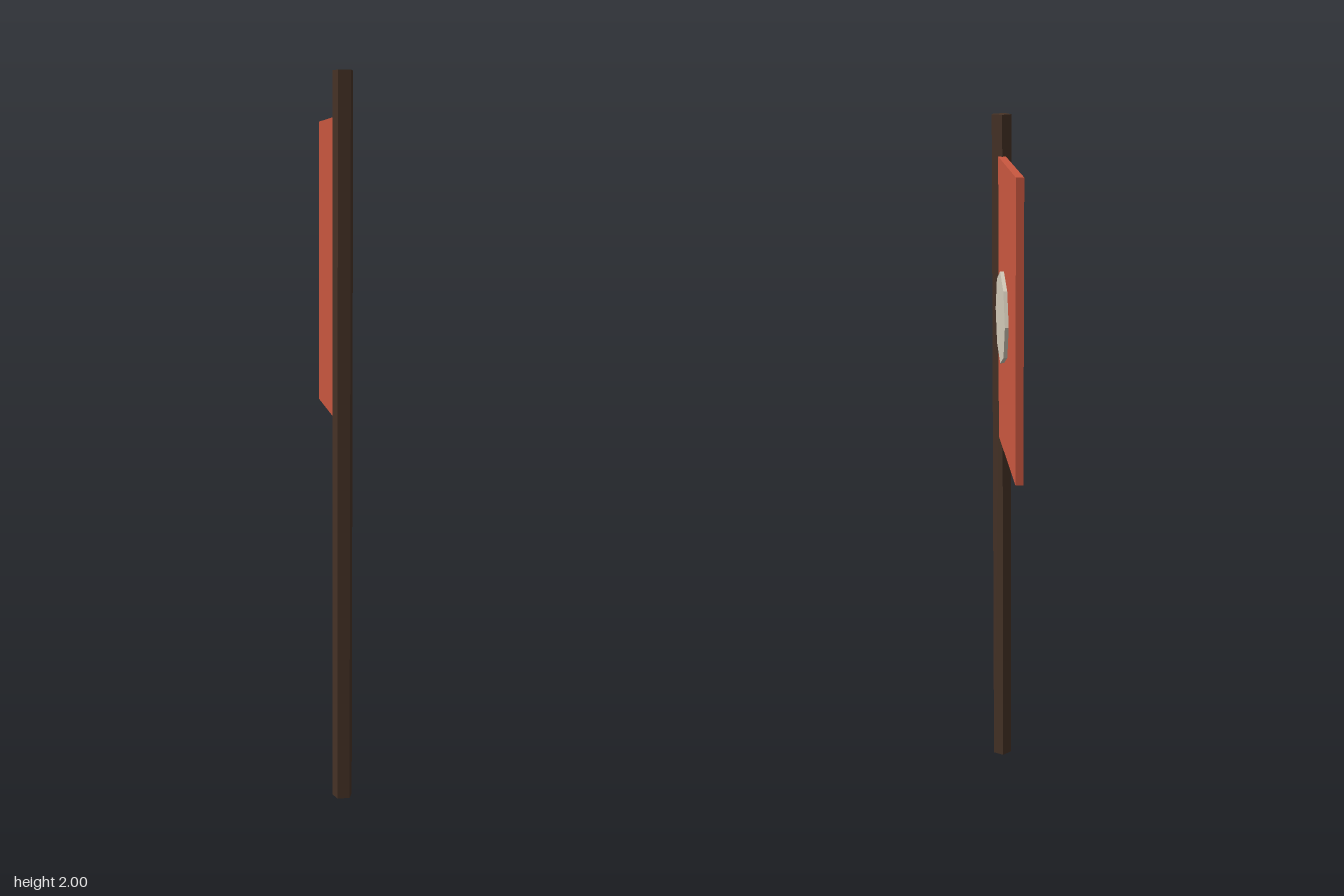
import * as THREE from 'three';

function addPart(group, name, geometry, color, x, y, z) {
  const material = new THREE.MeshStandardMaterial({ color, flatShading: true });
  const mesh = new THREE.Mesh(geometry, material);
  mesh.name = name;
  mesh.position.set(x, y, z);
  group.add(mesh);
}

export function createModel() {
  const group = new THREE.Group();
  group.name = 'banner';

  // five-sided pole, one corner pointing back into the cloth
  const pole = new THREE.CylinderGeometry(0.029, 0.029, 2, 5).rotateY(Math.PI);
  addPart(group, 'pole', pole, 0x463226, -0.001, 1, 0.229);

  // stiff cloth panel behind the pole
  const cloth = new THREE.BoxGeometry(0.0215, 0.822, 0.463);
  addPart(group, 'cloth', cloth, 0xc9573f, -0.001, 1.474, -0.0225);

  // thin octagonal disc floating just off the left face
  const emblem = new THREE.CylinderGeometry(0.129, 0.129, 0.0105, 8).rotateZ(-Math.PI / 2);
  addPart(group, 'emblemDisc', emblem, 0xd2c9b8, 0.0222, 1.473, -0.0195);

  return group;
}
